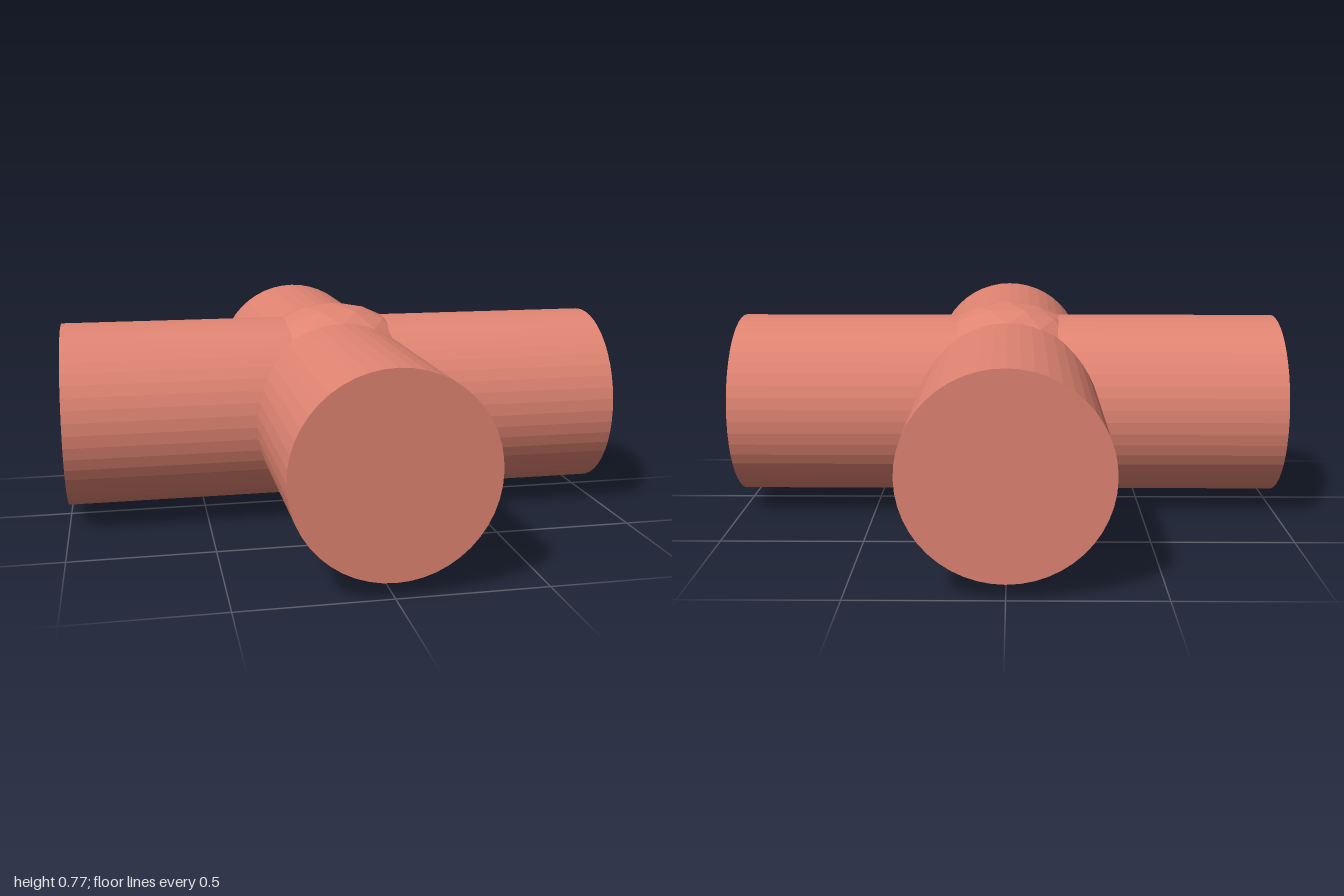
import * as THREE from 'three';

const CENTER_Y = 0.385;
const PIPE_RADIUS = 0.333;
const HUB_RADIUS = 0.385;

export function createModel() {
  const model = new THREE.Group();
  model.name = 'crossJoint';
  const material = new THREE.MeshStandardMaterial({ color: 0xe08472, flatShading: true });

  function add(name, geometry) {
    const mesh = new THREE.Mesh(geometry, material);
    mesh.name = name;
    mesh.position.y = CENTER_Y;
    model.add(mesh);
  }

  // Two solid round bars crossing at right angles
  const bar = new THREE.CylinderGeometry(PIPE_RADIUS, PIPE_RADIUS, 2, 48);
  add('sideToSideBar', bar.clone().rotateZ(Math.PI / 2));
  add('frontToBackBar', bar.clone().rotateX(Math.PI / 2));

  // Faceted ball bulging out above and below the crossing
  add('centerBall', new THREE.IcosahedronGeometry(HUB_RADIUS, 3));

  return model;
}
